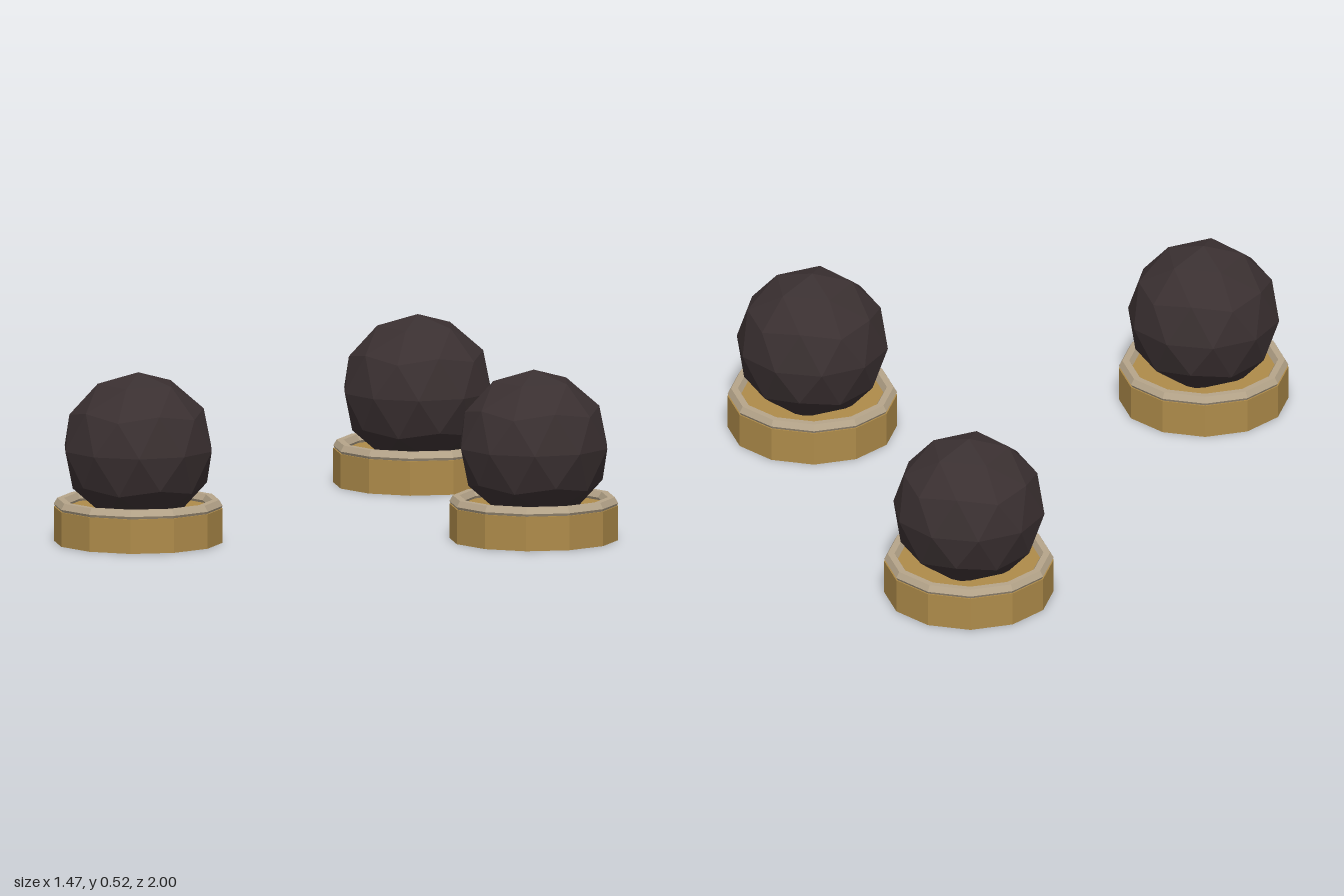
import * as THREE from 'three';

const BASE_RADIUS = 0.259, BASE_HEIGHT = 0.106;
const BALL_RADIUS = 0.235, BALL_Y = 0.288;
const RIM_TUBE = 0.021, RIM_Y = 0.114;

export function createModel() {
  const brass = new THREE.MeshStandardMaterial({ color: 0xae8b4a, flatShading: true });
  brass.name = 'brass';
  const taupe = new THREE.MeshStandardMaterial({ color: 0xb6a58a, flatShading: true });
  taupe.name = 'pale taupe';
  const charcoal = new THREE.MeshStandardMaterial({ color: 0x3a3031, flatShading: true });
  charcoal.name = 'charcoal';

  // Twelve-sided base disc standing on the ground
  const baseGeometry = new THREE.CylinderGeometry(BASE_RADIUS, BASE_RADIUS, BASE_HEIGHT, 12);
  baseGeometry.translate(0, BASE_HEIGHT / 2, 0);

  // Six-sided ring sunk into the top edge of the base
  const rimGeometry = new THREE.TorusGeometry(BASE_RADIUS - RIM_TUBE, RIM_TUBE, 6, 12);
  rimGeometry.rotateX(-Math.PI / 2).translate(0, RIM_Y, 0);

  // Faceted ball, turned so that one corner points straight up
  const ballGeometry = new THREE.IcosahedronGeometry(BALL_RADIUS, 1);
  ballGeometry.rotateZ(-Math.atan(2 / (1 + Math.sqrt(5)))).translate(0, BALL_Y, 0);

  const parts = [
    ['base', baseGeometry, brass],
    ['rim', rimGeometry, taupe],
    ['ball', ballGeometry, charcoal],
  ];

  // Three identical stands set in a triangle
  const model = new THREE.Group();
  model.name = 'ballStands';
  const places = [
    ['backStand', -0.478, -0.741],
    ['middleStand', 0.478, 0],
    ['frontStand', -0.478, 0.741],
  ];
  for (const [standName, x, z] of places) {
    const stand = new THREE.Group();
    stand.name = standName;
    stand.position.set(x, 0, z);
    for (const [name, geometry, material] of parts) {
      const mesh = new THREE.Mesh(geometry, material);
      mesh.name = name;
      stand.add(mesh);
    }
    model.add(stand);
  }
  return model;
}
